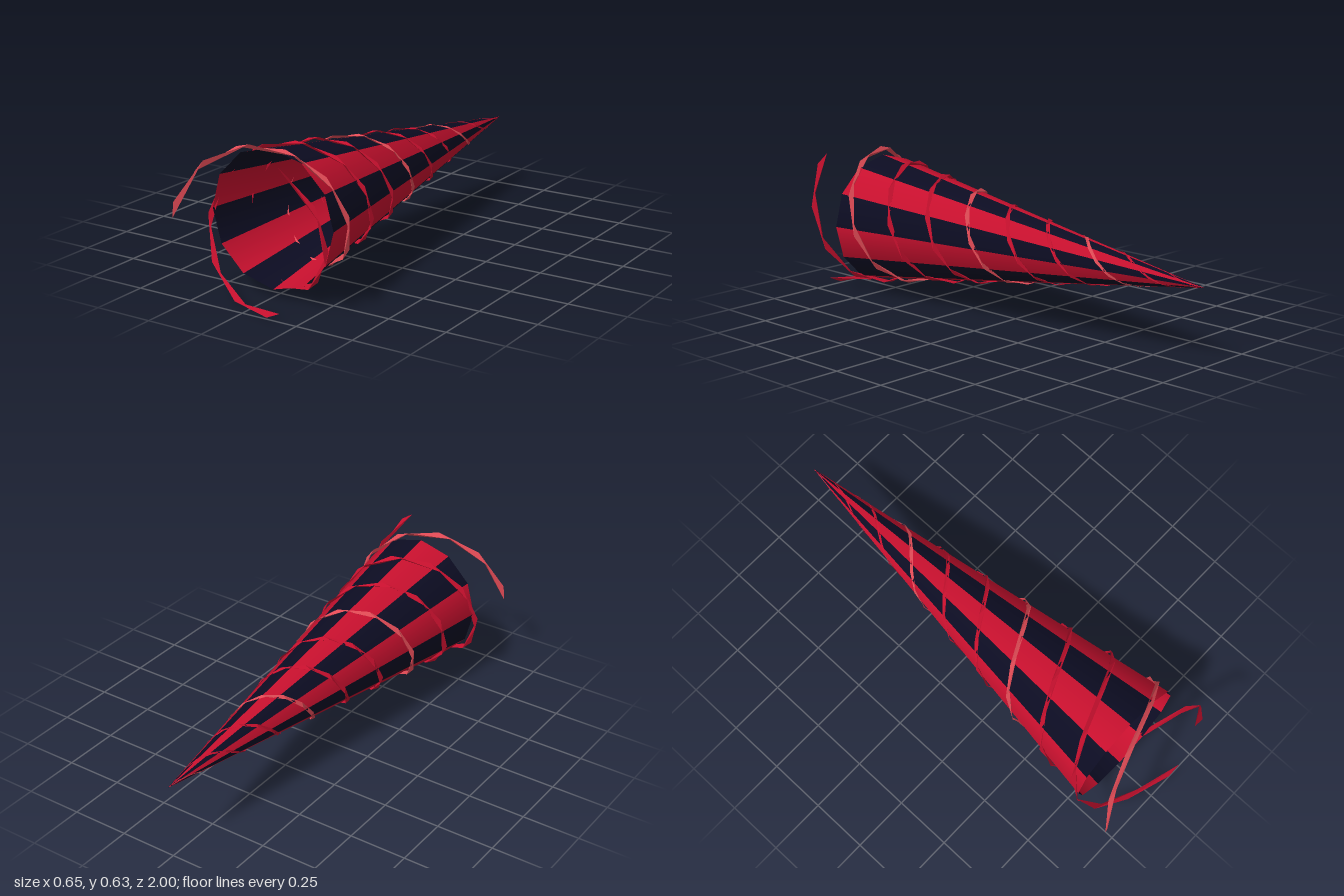
import * as THREE from 'three';

const CX = 0.008, CY = 0.323;      // axis of the cone
const TIP_Z = -1, RIM_Z = 0.81, RIM_R = 0.285;
const SIDES = 12;

const material = (name, color) => {
  const m = new THREE.MeshStandardMaterial({ color, side: THREE.DoubleSide });
  m.name = name;
  return m;
};

// Flat band winding round the axis; its two rails are the same spiral, turned slightly apart
function ribbonGeometry(startAngle) {
  const steps = 33, turn = 20, spread = 0.2, slope = 0.1665;
  const positions = [], index = [];
  for (let i = 0; i <= steps; i++) {
    const t = i / steps;
    const z = 1 - 2 * t, r = slope * (z + 1);
    for (const offset of [0, spread]) {
      const a = startAngle - turn * t - offset;
      positions.push(CX + r * Math.cos(a), CY + r * Math.sin(a), z);
    }
    if (i < steps) {
      const k = i * 2;
      index.push(k, k + 1, k + 3, k, k + 3, k + 2);
    }
  }
  const g = new THREE.BufferGeometry();
  g.setAttribute('position', new THREE.Float32BufferAttribute(positions, 3));
  g.setIndex(index);
  const flat = g.toNonIndexed();
  flat.computeVertexNormals();
  return flat;
}

export function createModel() {
  const model = new THREE.Group();
  model.name = 'stripedCone';

  const crimson = material('crimson', 0xc8102e);
  const navy = material('navy', 0x0c0c22);
  const coral = material('coral', 0xe04a55);

  // Hollow cone of alternating panels, tip pointing back
  const shell = new THREE.Group();
  shell.name = 'coneShell';
  const step = (Math.PI * 2) / SIDES, height = RIM_Z - TIP_Z;
  for (let i = 0; i < SIDES; i++) {
    const g = new THREE.ConeGeometry(RIM_R, height, 1, 1, true, Math.PI / 2 - (i + 1) * step, step);
    g.rotateX(-Math.PI / 2);
    g.translate(CX, CY, (TIP_Z + RIM_Z) / 2);
    const panel = new THREE.Mesh(g, i % 2 ? crimson : navy);
    panel.name = i % 2 ? 'crimsonPanel' : 'navyPanel';
    shell.add(panel);
  }
  model.add(shell);

  // Three spiral ribbons that run on past the rim
  [[180, coral], [60, crimson], [-60, crimson]].forEach(([deg, mat], i) => {
    const ribbon = new THREE.Mesh(ribbonGeometry(THREE.MathUtils.degToRad(deg)), mat);
    ribbon.name = `spiralRibbon${i + 1}`;
    model.add(ribbon);
  });

  return model;
}
